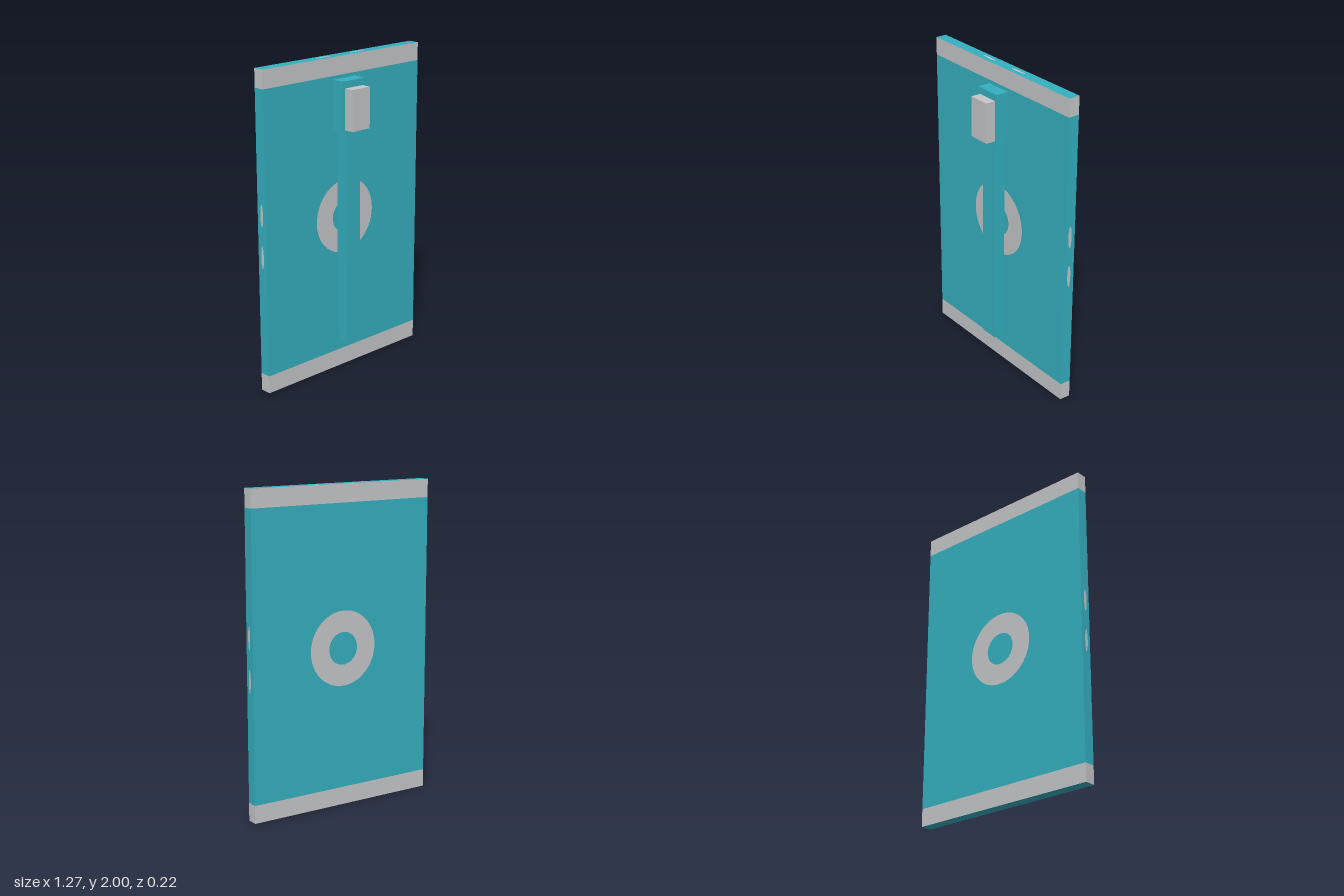
import * as THREE from 'three';

const teal = new THREE.MeshStandardMaterial({ color: 0x35b0c0 });
teal.name = 'teal';
const grey = new THREE.MeshStandardMaterial({ color: 0xc5c7c8 });
grey.name = 'light grey';

export function createModel() {
  const model = new THREE.Group();
  model.name = 'slidingPanel';

  const add = (name, geometry, material, x, y, z) => {
    const mesh = new THREE.Mesh(geometry, material);
    mesh.name = name;
    mesh.position.set(x, y, z);
    model.add(mesh);
    return mesh;
  };
  // Box given by its limits on each axis
  const box = (name, material, x0, x1, y0, y1, z0, z1) =>
    add(name, new THREE.BoxGeometry(x1 - x0, y1 - y0, z1 - z0), material,
      (x0 + x1) / 2, (y0 + y1) / 2, (z0 + z1) / 2);

  // Panel: teal centre between grey bands, with teal top and bottom edges
  const W = 0.635, H = 2, BAND = 0.113, BACK = -0.108, FRONT = -0.037;
  const bandMaterials = [grey, grey, teal, teal, grey, grey];
  box('panel', teal, -W, W, BAND, H - BAND, BACK, FRONT);
  box('bottomBand', bandMaterials, -W, W, 0, BAND, BACK, FRONT);
  box('topBand', bandMaterials, -W, W, H - BAND, H, BACK, FRONT);

  // Painted rings on both faces
  const LIFT = 0.0015;
  const ring = new THREE.RingGeometry(0.102, 0.235, 48);
  add('frontRing', ring, grey, 0, 1, FRONT + LIFT);
  add('backRing', ring, grey, 0, 1, BACK - LIFT).rotation.y = Math.PI;

  // Narrow painted marks on the side and top edges
  const disc = new THREE.CircleGeometry(1, 16);
  for (const s of [-1, 1]) {
    for (const t of [-1, 1]) {
      const mark = add('sideMark', disc, grey, s * (W + LIFT), 1 + t * 0.13, -0.071);
      mark.rotation.y = s * Math.PI / 2;
      mark.scale.set(0.012, 0.072, 1);
    }
    const mark = add('topMark', disc, grey, s * 0.137, H + LIFT / 2, -0.074);
    mark.rotation.x = -Math.PI / 2;
    mark.scale.set(0.06, 0.008, 1);
  }

  // Raised rail with a slider block and its button
  box('rail', teal, -0.062, 0.06, 0.185, 1.56, FRONT, 0.037);
  box('sliderBlock', teal, -0.091, 0.087, 1.55, 1.865, FRONT, 0.045);
  box('button', grey, -0.074, 0.07, 1.568, 1.822, 0.045, 0.108);

  return model;
}
